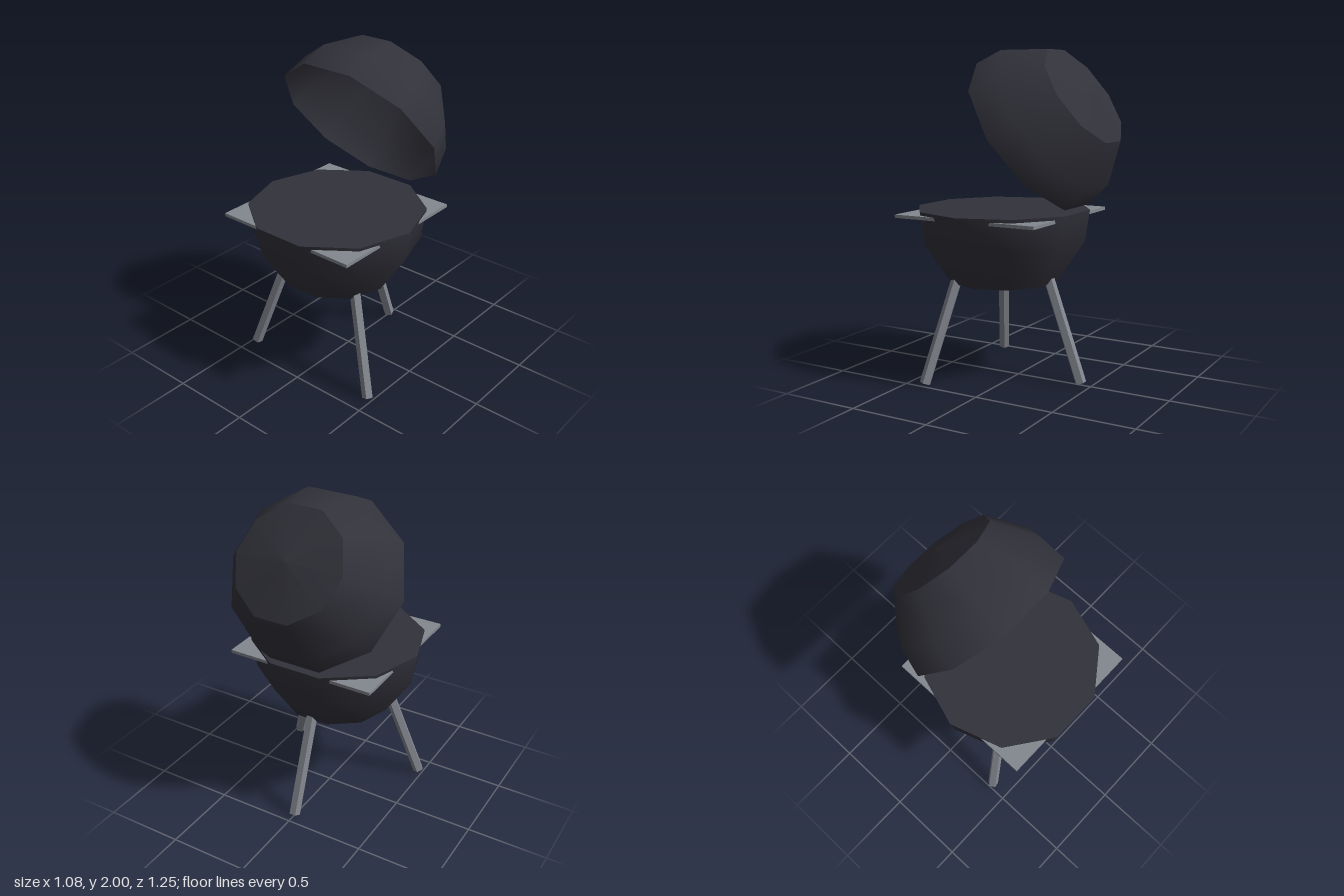
import * as THREE from 'three';

const SIDES = 10;
const CENTRE_Z = 0.109;

export function createModel() {
  const charcoal = new THREE.MeshStandardMaterial({ color: 0x32323b, side: THREE.DoubleSide });
  charcoal.name = 'charcoal enamel';
  const steel = new THREE.MeshStandardMaterial({ color: 0x83878f, flatShading: true });
  steel.name = 'grey steel';

  const model = new THREE.Group();
  model.name = 'kettleGrill';

  const add = (parent, name, geometry, material) => {
    const mesh = new THREE.Mesh(geometry, material);
    mesh.name = name;
    parent.add(mesh);
    return mesh;
  };
  // Ten-sided turned surface with a flat facing front; points run bottom to top
  const turned = (points) => new THREE.LatheGeometry(
    points.map(([r, y]) => new THREE.Vector2(r, y)), SIDES, Math.PI / SIDES, Math.PI * 2);

  // Lower bowl: curved wall, shallow base and closed cooking surface
  const bowl = new THREE.Group();
  bowl.name = 'bowl';
  bowl.position.set(0, 1.05, CENTRE_Z);
  model.add(bowl);
  add(bowl, 'bowlWall', turned([[0.342, -0.45], [0.51, -0.198], [0.54, 0]]), charcoal);
  add(bowl, 'bowlBase', turned([[0, -0.5], [0.342, -0.45]]), charcoal);
  add(bowl, 'cookingSurface', turned([[0.54, 0], [0, 0]]), charcoal);

  // Open hollow lid, tipped back above the bowl
  const lid = new THREE.Group();
  lid.name = 'lid';
  lid.position.set(0, 1.505, -0.105);
  lid.rotation.x = -0.958;
  model.add(lid);
  add(lid, 'lidWall', turned([[0.54, 0], [0.508, 0.176], [0.34, 0.408]]), charcoal);
  add(lid, 'lidCrown', turned([[0.34, 0.408], [0, 0.457]]), charcoal);

  // Square plate whose corners stick out of the bowl as handles
  add(model, 'handlePlate', new THREE.BoxGeometry(0.95, 0.02, 0.948), steel)
    .position.set(0, 1.02, CENTRE_Z);

  // Three splayed five-sided legs
  const tilt = 0.343, length = 0.7;
  const legGeometry = new THREE.CylinderGeometry(0.035, 0.035, length, 5);
  legGeometry.translate(0, length / 2, 0);
  ['backLeg', 'leftLeg', 'rightLeg'].forEach((name, i) => {
    const pivot = new THREE.Group();
    pivot.name = name;
    pivot.position.z = CENTRE_Z;
    pivot.rotation.y = -i * Math.PI * 2 / 3;
    model.add(pivot);
    const leg = add(pivot, name + 'Rod', legGeometry, steel);
    leg.position.set(0, 0.012, -0.543);
    leg.rotation.x = tilt;
  });

  return model;
}
